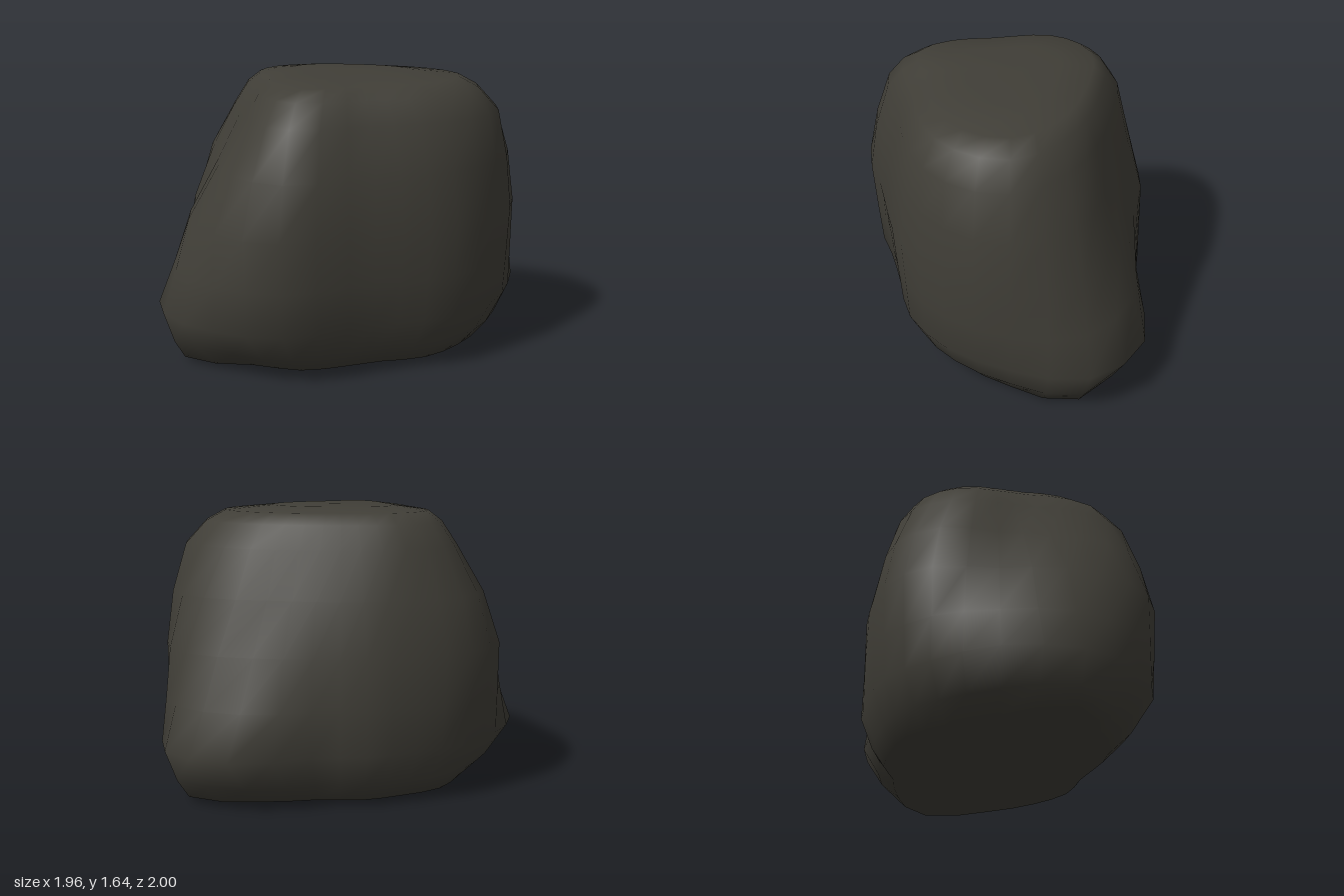
import * as THREE from 'three';

// Radii of the main horizontal sections, from +x turning towards +z.
const base = [.74, .66, .56, .58, .68, .75, 1, .79, .7, .68, .62, .62, .62, .79, 1.03, .86];
const foot = [.93, .84, .74, .77, .95, 1.05, 1.12, 1.05, .92, .85, .76, .76, .79, 1.08, 1.17, 1.03];
const waist = [.96, .87, .79, .81, .99, 1.02, .95, .86, .93, .88, .78, .75, .75, .85, 1.03, 1.04];
const chest = [.93, .83, .75, .77, .92, .88, .76, .72, .83, .81, .71, .66, .66, .72, .91, 1];
const shoulder = [.89, .78, .68, .69, .82, .72, .6, .6, .67, .69, .64, .57, .57, .64, .78, .92];

const scaled = (ring, s) => ring.map((r) => r * s);
const between = (a, b) => a.map((r, i) => (r + b[i]) / 2);

// Double the points of a ring along a smooth closed curve.
function refine(ring) {
  const n = ring.length;
  return ring.flatMap((r, i) => {
    const before = ring[(i + n - 1) % n], next = ring[(i + 1) % n], after = ring[(i + 2) % n];
    return [r, (9 * (r + next) - before - after) / 16];
  });
}

// Skin the sections into one closed surface with smooth normals.
function loft(sections, bottomY, topY) {
  const n = sections[0].ring.length;
  const positions = [];
  const index = [];
  for (const { y, ring } of sections) {
    ring.forEach((r, i) => {
      const a = (i / n) * Math.PI * 2;
      positions.push(r * Math.cos(a), y, r * Math.sin(a));
    });
  }
  const last = (sections.length - 1) * n;
  const bottom = last + n;
  const top = bottom + 1;
  positions.push(0, bottomY, 0, 0.03, topY, -0.05);

  for (let i = 0; i < n; i++) {
    const j = (i + 1) % n;
    for (let k = 0; k < last; k += n) {
      const a = k + i, b = k + j, c = a + n, d = b + n;
      index.push(a, c, b, b, c, d);
    }
    index.push(bottom, i, j, top, last + j, last + i);
  }
  const geometry = new THREE.BufferGeometry();
  geometry.setAttribute('position', new THREE.Float32BufferAttribute(positions, 3));
  geometry.setIndex(index);
  geometry.computeVertexNormals();
  return geometry;
}

export function createModel() {
  const stone = new THREE.MeshStandardMaterial({ color: 0x403e37 });
  stone.name = 'darkStone';

  // Chamfered underside, leaning body, rounded flat crown
  const sections = [
    { y: 0.025, ring: base },
    { y: 0.13, ring: between(base, foot) },
    { y: 0.31, ring: foot },
    { y: 0.56, ring: between(foot, waist) },
    { y: 0.85, ring: waist },
    { y: 1.15, ring: chest },
    { y: 1.42, ring: shoulder },
    { y: 1.55, ring: scaled(shoulder, 0.87) },
    { y: 1.61, ring: scaled(shoulder, 0.75) },
    { y: 1.635, ring: scaled(shoulder, 0.45) },
  ].map(({ y, ring }) => ({ y, ring: refine(ring) }));

  const boulder = new THREE.Mesh(loft(sections, 0, 1.64), stone);
  boulder.name = 'boulder';

  const model = new THREE.Group();
  model.name = 'rock';
  model.add(boulder);
  return model;
}
